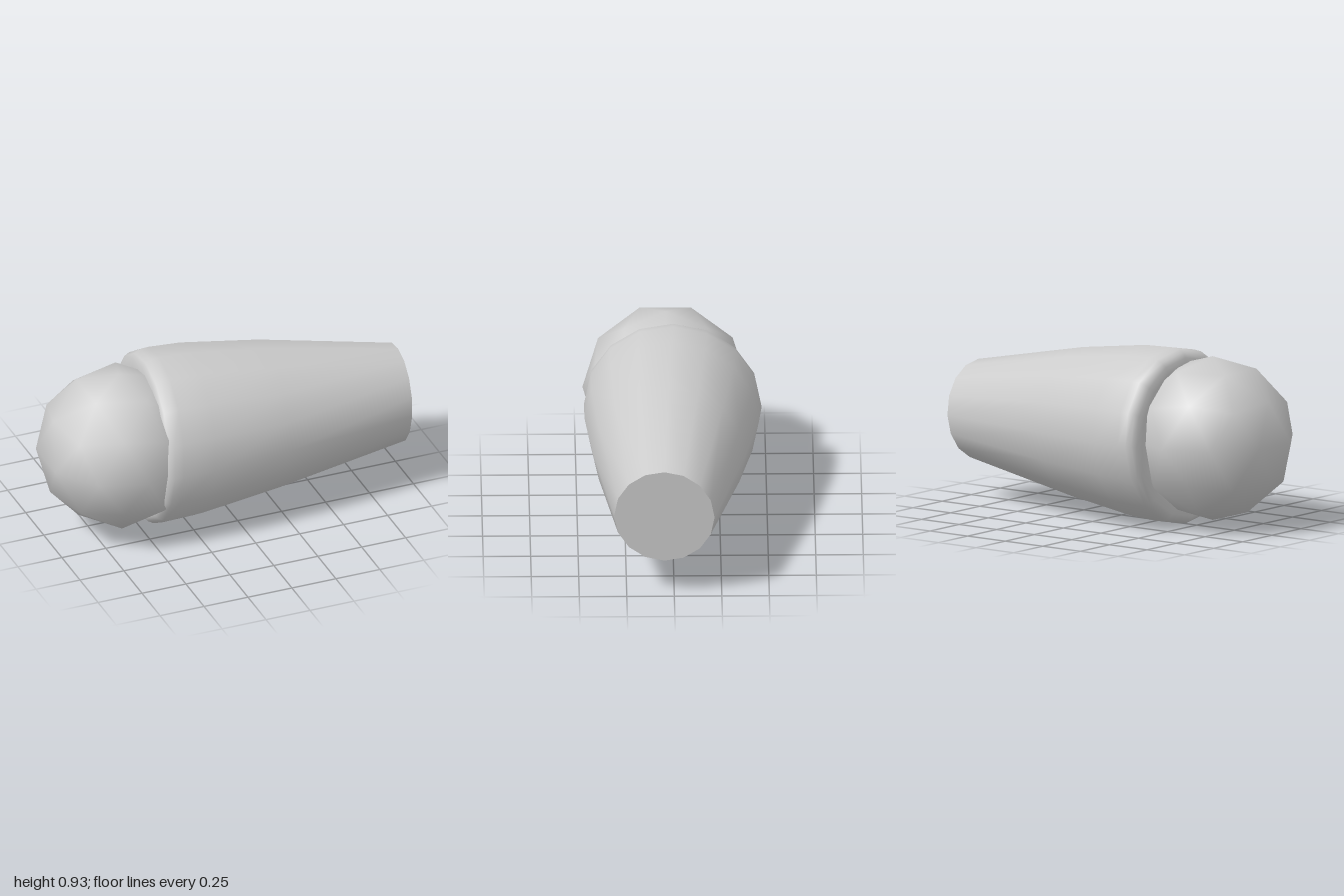
import * as THREE from 'three';

const SIDES = 16;
const TILT = 0.055; // lean of every ring towards -y and +z

// Points of one ring around the x axis, first point at the top
function ringPoints([x, y, z, r]) {
  const pts = [];
  for (let j = 0; j < SIDES; j++) {
    const t = (j / SIDES) * Math.PI * 2;
    const dy = r * Math.cos(t), dz = r * Math.sin(t);
    pts.push(x + TILT * (dy - dz), y + dy, z + dz);
  }
  return pts;
}

function makeGeometry(positions, index) {
  const g = new THREE.BufferGeometry();
  g.setAttribute('position', new THREE.Float32BufferAttribute(positions, 3));
  g.setIndex(index);
  g.computeVertexNormals();
  return g;
}

// Smooth skin through a list of rings ordered by increasing x
function skin(rings) {
  const index = [];
  for (let i = 0; i < rings.length - 1; i++) {
    for (let j = 0; j < SIDES; j++) {
      const k = (j + 1) % SIDES;
      const a = i * SIDES + j, b = i * SIDES + k;
      index.push(a, b, a + SIDES, b, b + SIDES, a + SIDES);
    }
  }
  return makeGeometry(rings.flatMap(ringPoints), index);
}

// Flat disc closing a ring, facing +x or -x
function disc(ring, facing) {
  const index = [];
  for (let j = 0; j < SIDES; j++) {
    const k = (j + 1) % SIDES;
    index.push(SIDES, ...(facing > 0 ? [j, k] : [k, j]));
  }
  return makeGeometry([...ringPoints(ring), ...ring.slice(0, 3)], index);
}

export function createModel() {
  const group = new THREE.Group();
  const material = new THREE.MeshStandardMaterial({ color: 0xcccccc });
  const add = (name, geometry) => {
    const mesh = new THREE.Mesh(geometry, material);
    mesh.name = name;
    group.add(mesh);
    return mesh;
  };

  // Tapered sleeve with a rounded lip: centre x, y, z and radius of each ring
  const rings = [
    [-0.46, 0.47, -0.01, 0.38],
    [-0.457, 0.47, -0.01, 0.42],
    [-0.442, 0.47, -0.01, 0.447],
    [-0.413, 0.469, -0.009, 0.462],
    [-0.365, 0.469, -0.008, 0.467],
    [-0.185, 0.469, 0, 0.459],
    [0.245, 0.468, 0.019, 0.4],
    [0.98, 0.457, 0.052, 0.264],
  ];
  add('sleeve', skin(rings));
  add('sleeveEnd', disc(rings[rings.length - 1], 1));
  add('sleeveRim', disc(rings[0], -1));

  // Ball set into the wide end, turned so a corner points straight up
  const ball = add('ball', new THREE.IcosahedronGeometry(0.4375, 1));
  ball.rotation.z = -Math.atan(2 / (1 + Math.sqrt(5)));
  ball.position.set(-0.585, 0.4725, 0.028);

  return group;
}
